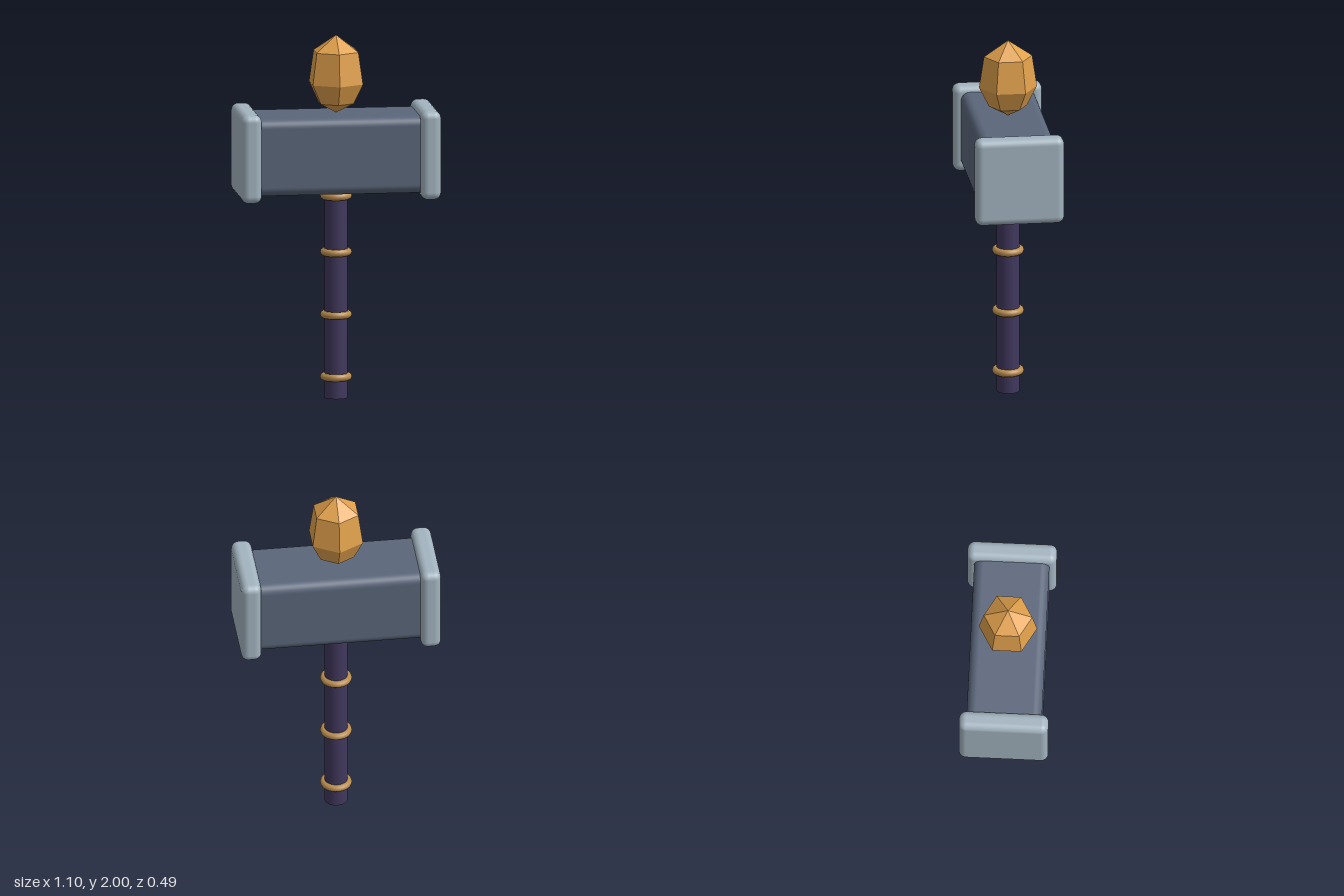
import * as THREE from 'three';
import { RoundedBoxGeometry } from 'three/addons/geometries/RoundedBoxGeometry.js';

function material(name, color, flatShading = false) {
  const m = new THREE.MeshStandardMaterial({ color, flatShading });
  m.name = name;
  return m;
}

export function createModel() {
  const group = new THREE.Group();
  group.name = 'warHammer';

  const purple = material('dark purple', 0x40375c);
  const slate = material('slate blue', 0x5a667a);
  const steel = material('pale steel', 0xa3b4c0);
  const brass = material('brass', 0xb98d50);
  const amber = material('amber', 0xe0a04c, true);

  const add = (name, geometry, mat, x, y) => {
    const mesh = new THREE.Mesh(geometry, mat);
    mesh.name = name;
    mesh.position.set(x, y, 0);
    group.add(mesh);
    return mesh;
  };

  // Handle, running up into the head
  add('handle', new THREE.CylinderGeometry(0.063, 0.063, 1.2, 24), purple, 0, 0.6);

  // Grip rings
  const ringShape = new THREE.TorusGeometry(0.067, 0.02, 10, 32).rotateX(Math.PI / 2);
  [0.117, 0.46, 0.805, 1.115].forEach((y, i) => add(`gripRing${i + 1}`, ringShape, brass, 0, y));

  // Hammer head with a wider cap at each end
  const headY = 1.358;
  add('head', new RoundedBoxGeometry(0.96, 0.424, 0.41, 4, 0.05), slate, 0, headY);
  const capShape = new RoundedBoxGeometry(0.111, 0.488, 0.488, 3, 0.04);
  add('leftCap', capShape, steel, 0.4925, headY);
  add('rightCap', capShape, steel, -0.4925, headY);

  // Six-sided crystal resting on the head
  const profile = [[0, 1.572], [0.104, 1.626], [0.159, 1.735], [0.132, 1.91], [0, 2]]
    .map(([r, y]) => new THREE.Vector2(r, y));
  add('crystal', new THREE.LatheGeometry(profile, 6), amber, 0, 0);

  return group;
}
